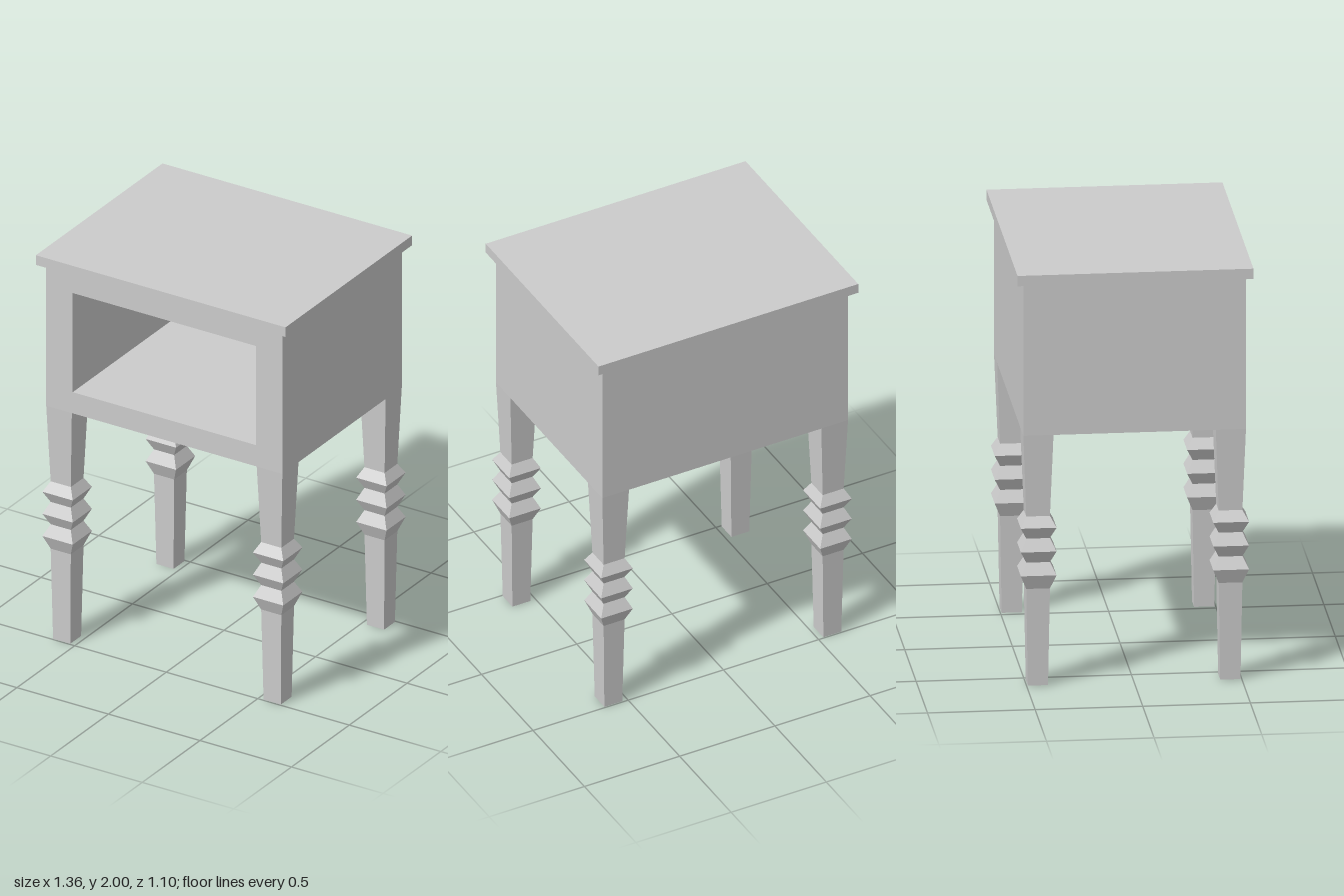
import * as THREE from 'three';

const material = new THREE.MeshStandardMaterial({ color: 0xcccccc, flatShading: true });

function addMesh(parent, name, geometry, x = 0, y = 0, z = 0) {
  const mesh = new THREE.Mesh(geometry, material);
  mesh.name = name;
  mesh.position.set(x, y, z);
  parent.add(mesh);
  return mesh;
}

// Square leg: half-width at each height, swept as a four-sided lathe
function legGeometry() {
  const profile = [
    [0, 0], [0.047, 0], [0.055, 0.47],
    [0.083, 0.54], [0.055, 0.597], [0.083, 0.655], [0.055, 0.713], [0.083, 0.77],
    [0.055, 0.82], [0.07, 1.215],
  ].map(([half, y]) => new THREE.Vector2(half * Math.SQRT2, y));
  return new THREE.LatheGeometry(profile, 4, Math.PI / 4);
}

// Front frame with a rectangular opening, extruded into the cabinet walls
function wallsGeometry(halfWidth, bottom, top, depth) {
  const shape = new THREE.Shape([
    new THREE.Vector2(-halfWidth, bottom), new THREE.Vector2(halfWidth, bottom),
    new THREE.Vector2(halfWidth, top), new THREE.Vector2(-halfWidth, top),
  ]);
  shape.holes.push(new THREE.Path([
    new THREE.Vector2(-0.5, 1.325), new THREE.Vector2(-0.5, 1.84),
    new THREE.Vector2(0.5, 1.84), new THREE.Vector2(0.5, 1.325),
  ]));
  return new THREE.ExtrudeGeometry(shape, { depth, bevelEnabled: false });
}

export function createModel() {
  const table = new THREE.Group();
  table.name = 'nightstand';

  const halfWidth = 0.645, halfDepth = 0.517, bottom = 1.215, top = 1.95, back = 0.09;

  // Table top
  addMesh(table, 'tableTop', new THREE.BoxGeometry(1.364, 0.05, 1.096), 0, 1.975, 0);

  // Open-fronted cabinet
  addMesh(table, 'cabinetWalls',
    wallsGeometry(halfWidth, bottom, top, 2 * halfDepth - back), 0, 0, back - halfDepth);
  addMesh(table, 'cabinetBack',
    new THREE.BoxGeometry(2 * halfWidth, top - bottom, back),
    0, (top + bottom) / 2, back / 2 - halfDepth);

  // Four notched legs, flush with the cabinet corners
  const leg = legGeometry();
  for (const [x, side] of [[1, 'Left'], [-1, 'Right']]) {
    for (const [z, end] of [[1, 'front'], [-1, 'back']]) {
      addMesh(table, `${end}${side}Leg`, leg, x * (halfWidth - 0.07), 0, z * (halfDepth - 0.07));
    }
  }
  return table;
}
